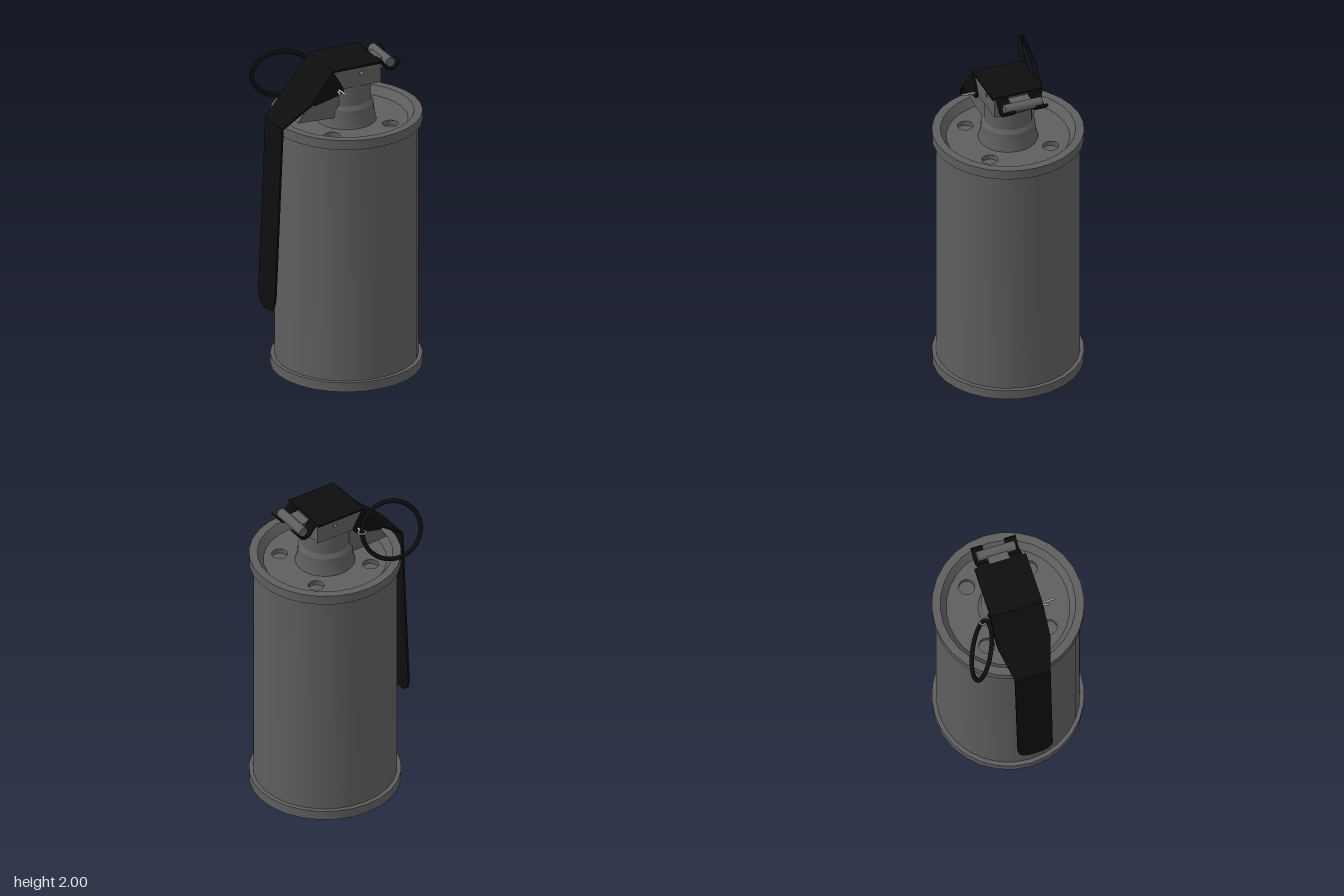
import * as THREE from 'three';
import { toCreasedNormals } from 'three/addons/utils/BufferGeometryUtils.js';

const CX = 0.038; // axis of the can
const grey = new THREE.MeshStandardMaterial({ color: 0x5e5e5e });
const black = new THREE.MeshStandardMaterial({ color: 0x0d0d0d });
const steel = new THREE.MeshStandardMaterial({ color: 0xcccccc });

function add(parent, name, geometry, material, x = 0, y = 0, z = 0) {
  const mesh = new THREE.Mesh(geometry, material);
  mesh.name = name;
  mesh.position.set(x, y, z);
  parent.add(mesh);
  return mesh;
}

const lathe = (points, segments = 28) =>
  toCreasedNormals(new THREE.LatheGeometry(points.map(p => new THREE.Vector2(...p)), segments), 0.45);

// Side profile in x and y, given thickness along z
function slab(points, z0, z1, hole) {
  const shape = new THREE.Shape(points.map(p => new THREE.Vector2(...p)));
  if (hole) shape.holes.push(new THREE.Path().absarc(...hole, 0, Math.PI * 2, true));
  const geo = new THREE.ExtrudeGeometry(shape, { depth: z1 - z0, bevelEnabled: false, curveSegments: 6 });
  return geo.translate(0, 0, z0);
}

// Sheet metal strip following stations [x, y, half width]
function strip(stations, thickness) {
  const pos = [], index = [], last = stations.length - 1;
  stations.forEach(([x, y, w], i) => {
    const a = stations[Math.max(i - 1, 0)], b = stations[Math.min(i + 1, last)];
    const dir = (p, q) => new THREE.Vector2(q[0] - p[0], q[1] - p[1]).normalize();
    const t = new THREE.Vector2();
    if (i > 0) t.add(dir(a, stations[i]));
    if (i < last) t.add(dir(stations[i], b));
    t.normalize();
    const nx = -t.y * thickness / 2, ny = t.x * thickness / 2;
    pos.push(x + nx, y + ny, -w, x + nx, y + ny, w, x - nx, y - ny, w, x - nx, y - ny, -w);
    if (i === last) return;
    for (let k = 0; k < 4; k++) {
      const p = i * 4 + k, q = i * 4 + (k + 1) % 4;
      index.push(p, q, q + 4, p, q + 4, p + 4);
    }
  });
  const e = last * 4;
  index.push(0, 3, 2, 0, 2, 1, e, e + 1, e + 2, e, e + 2, e + 3);
  const geo = new THREE.BufferGeometry();
  geo.setAttribute('position', new THREE.Float32BufferAttribute(pos, 3));
  geo.setIndex(index);
  return toCreasedNormals(geo, 0.4);
}

const wire = (points, radius) => new THREE.TubeGeometry(
  new THREE.CatmullRomCurve3(points.map(p => new THREE.Vector3(...p))), 12, radius, 6);

function createCan() {
  const can = new THREE.Group();
  can.name = 'can';
  can.position.x = CX;
  const floor = 1.57;

  // Shell with both rims and the stepped underside
  add(can, 'shell', lathe([
    [0, 0.08], [0.115, 0.08], [0.115, 0.035], [0.17, 0.035], [0.17, 0.05], [0.365, 0.05],
    [0.39, 0], [0.45, 0], [0.45, 0.06], [0.425, 0.06], [0.425, 1.56], [0.45, 1.56],
    [0.45, 1.62], [0.4, 1.62], [0.365, floor],
  ]), grey);

  // Sunken top plate with four vents
  const plate = new THREE.Shape().absarc(0, 0, 0.367, 0, Math.PI * 2);
  for (const sx of [-1, 1]) for (const sz of [-1, 1]) {
    plate.holes.push(new THREE.Path().absarc(sx * 0.193, sz * 0.193, 0.047, 0, Math.PI * 2, true));
    add(can, 'vent', lathe([[0.047, floor], [0.047, floor - 0.03], [0, floor - 0.03]], 24),
      grey, sx * 0.193, 0, sz * 0.193);
  }
  add(can, 'topPlate', new THREE.ShapeGeometry(plate, 28).rotateX(-Math.PI / 2), grey, 0, floor, 0);

  // Flared neck
  add(can, 'neck', lathe([
    [0.18, floor - 0.01], [0.165, 1.62], [0.16, 1.68], [0.143, 1.705], [0.143, 1.84],
  ]), grey);
  return can;
}

function createFuzeHead() {
  const head = new THREE.Group();
  head.name = 'fuzeHead';
  add(head, 'headBlock', slab(
    [[-0.122, 1.952], [-0.215, 1.83], [0.19, 1.83], [0.19, 1.952]], -0.148, 0.148, [0.065, 1.91, 0.013]), grey);
  add(head, 'wing', slab(
    [[-0.33, 1.645], [-0.13, 1.635], [0, 1.635], [0, 1.83], [-0.21, 1.83], [-0.255, 1.775]], -0.1, 0.1), grey);
  // Hinge arm and its cross bar
  add(head, 'hingeArm', slab(
    [[0.18, 1.83], [0.195, 1.83], [0.265, 1.9], [0.265, 1.94], [0.18, 1.945]], -0.063, 0.063), grey);
  add(head, 'hingeBar', new THREE.CylinderGeometry(0.03, 0.03, 0.236, 12).rotateX(Math.PI / 2),
    grey, 0.27, 1.927, 0);
  return head;
}

function createLever() {
  const lever = new THREE.Group();
  lever.name = 'lever';
  add(lever, 'leverStrip', strip([
    [0.19, 1.958, 0.16], [-0.125, 1.958, 0.16], [-0.275, 1.77, 0.16], [-0.437, 1.63, 0.11],
    [-0.484, 0.54, 0.108], [-0.487, 0.49, 0.095], [-0.488, 0.46, 0.07], [-0.489, 0.448, 0.035],
  ], 0.012), black);

  for (const s of [-1, 1]) {
    // Folded side cheeks
    const z = s * 0.154;
    add(lever, 'cheek', slab(
      [[-0.128, 1.958], [-0.272, 1.772], [-0.245, 1.765], [-0.08, 1.803], [-0.06, 1.825], [-0.062, 1.845]],
      z - 0.006, z + 0.006), black);
    // Hooks curling under the hinge bar
    add(lever, 'hook', strip([
      [0.18, 1.955, 0.036], [0.205, 1.95, 0.036], [0.228, 1.915, 0.036], [0.248, 1.895, 0.036],
      [0.275, 1.89, 0.036], [0.3, 1.905, 0.036], [0.325, 1.937, 0.036],
    ], 0.012), black, 0, 0, s * 0.103);
  }
  return lever;
}

function createPin() {
  const pin = new THREE.Group();
  pin.name = 'pinAndRing';
  // Split pin: two legs spreading at the front, eye at the back
  add(pin, 'pinLeg', wire([[-0.09, 1.835, -0.185], [-0.09, 1.835, 0.15], [-0.09, 1.838, 0.245]], 0.006), steel);
  add(pin, 'pinLeg', wire([[-0.094, 1.826, -0.185], [-0.094, 1.826, 0.15], [-0.109, 1.822, 0.21]], 0.006), steel);
  add(pin, 'pinEye', new THREE.TorusGeometry(0.022, 0.005, 6, 16).rotateX(Math.PI / 2),
    steel, -0.092, 1.83, -0.198);
  const ring = add(pin, 'pullRing', new THREE.TorusGeometry(0.178, 0.014, 8, 36), black, -0.26, 1.815, -0.258);
  ring.quaternion.setFromUnitVectors(
    new THREE.Vector3(0, 0, 1), new THREE.Vector3(-0.34, -0.37, 1).normalize());
  return pin;
}

export function createModel() {
  const model = new THREE.Group();
  model.name = 'canister';
  model.add(createCan(), createFuzeHead(), createLever(), createPin());
  return model;
}
